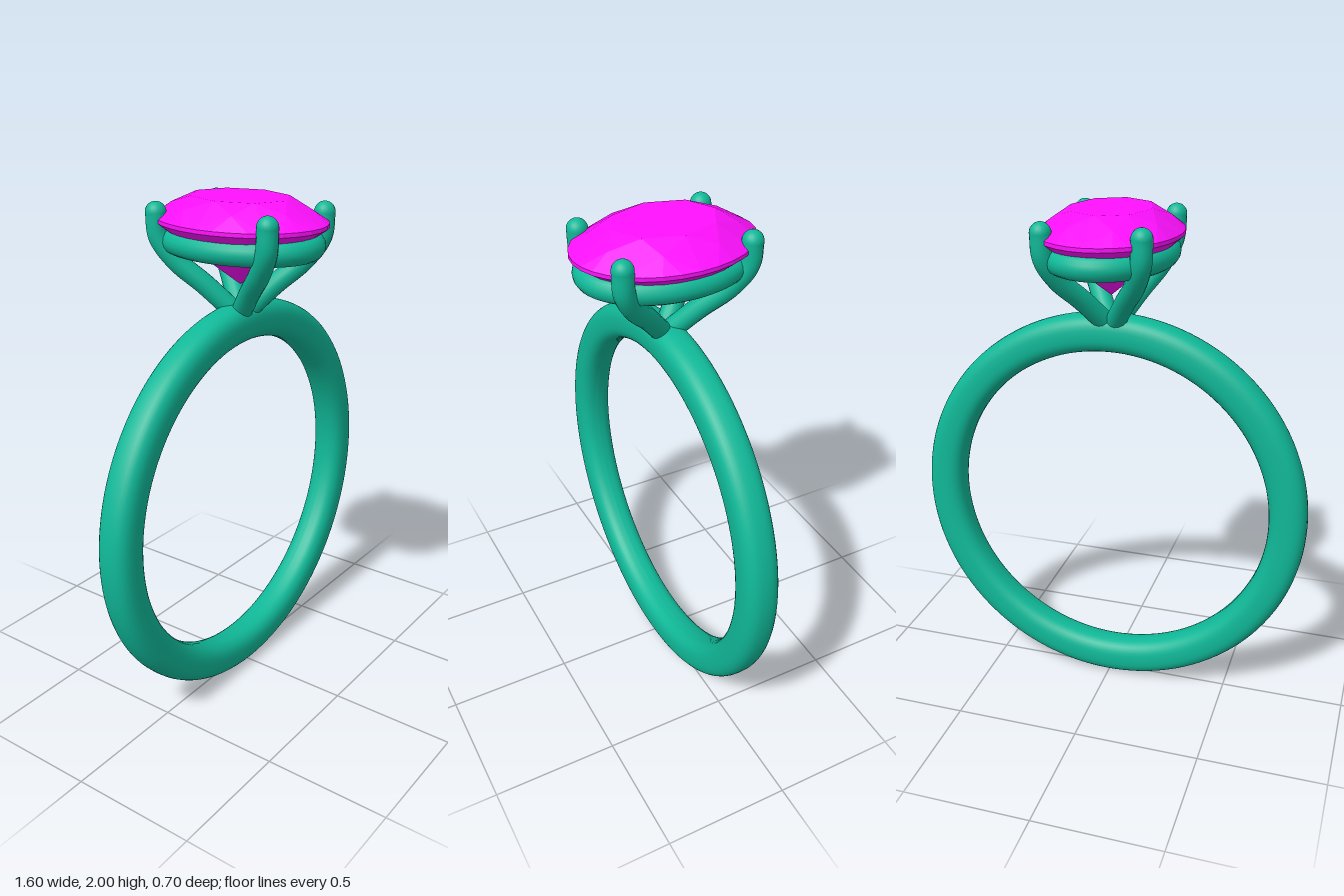
import * as THREE from 'three';

const metal = new THREE.MeshStandardMaterial({ color: 0x10b898 });
const gemMat = new THREE.MeshStandardMaterial({ color: 0xff10ff, flatShading: true });

function add(parent, name, geometry, material = metal) {
  const mesh = new THREE.Mesh(geometry, material);
  mesh.name = name;
  parent.add(mesh);
  return mesh;
}

// Band: softly squared section revolved about the finger axis
function bandGeometry() {
  const section = [];
  const soft = (v) => Math.sign(v) * Math.pow(Math.abs(v), 0.78);
  for (let i = 0; i <= 32; i++) {
    const a = Math.PI + (i / 32) * Math.PI * 2;
    section.push(new THREE.Vector2(0.725 + 0.075 * soft(Math.cos(a)), 0.071 * soft(Math.sin(a))));
  }
  return new THREE.LatheGeometry(section, 128).rotateX(Math.PI / 2);
}

// Oval brilliant cut: table, stars, kites, girdle facets, pavilion
function gemGeometry() {
  const pos = [];
  const tri = (...pts) => pts.forEach((p) => pos.push(p.x, p.y, p.z));
  const fan = 4; // girdle segments per eighth
  const at = (eighth, scale, y) => {
    const a = (eighth * Math.PI) / 4;
    return new THREE.Vector3(0.27 * scale * Math.cos(a), y, 0.35 * scale * Math.sin(a));
  };
  const table = (k) => at(k, 0.58, 2.0);
  const star = (k) => at(k + 0.5, 0.8, 1.965);
  const upper = (k) => at(k, 1, 1.918);
  const lower = (k) => at(k, 1, 1.903);
  const pav = (k) => at(k + 0.5, 0.38, 1.752);
  const top = new THREE.Vector3(0, 2.0, 0);
  const culet = new THREE.Vector3(0, 1.67, 0);

  for (let k = 0; k < 8; k++) {
    tri(top, table(k + 1), table(k));
    tri(table(k), table(k + 1), star(k));
    tri(table(k), star(k), upper(k));
    tri(table(k), upper(k), star(k - 1));
    tri(culet, lower(k), pav(k));
    tri(culet, pav(k - 1), lower(k));
    for (let j = 0; j < fan; j++) {
      const a = k + j / fan;
      const b = k + (j + 1) / fan;
      tri(star(k), upper(b), upper(a));
      tri(upper(a), upper(b), lower(a));
      tri(upper(b), lower(b), lower(a));
      tri(pav(k), lower(a), lower(b));
    }
  }
  const g = new THREE.BufferGeometry();
  g.setAttribute('position', new THREE.Float32BufferAttribute(pos, 3));
  g.computeVertexNormals();
  return g;
}

// Oval rail that carries the stone
function railGeometry() {
  const pts = [];
  for (let i = 0; i < 24; i++) {
    const a = (i / 24) * Math.PI * 2;
    pts.push(new THREE.Vector3(0.207 * Math.cos(a), 1.835, 0.293 * Math.sin(a)));
  }
  return new THREE.TubeGeometry(new THREE.CatmullRomCurve3(pts, true), 80, 0.047, 16, true);
}

// Prong: curved claw with a rounded tip, one per corner
function prong(sx, sz) {
  const group = new THREE.Group();
  group.name = 'prong';
  const path = new THREE.CatmullRomCurve3([
    [0.02, 1.57, 0.02],
    [0.083, 1.67, 0.105],
    [0.145, 1.76, 0.19],
    [0.18, 1.85, 0.243],
    [0.185, 1.94, 0.25],
  ].map(([x, y, z]) => new THREE.Vector3(sx * x, y, sz * z)));
  add(group, 'prongArm', new THREE.TubeGeometry(path, 32, 0.04, 16));
  add(group, 'prongTip', new THREE.SphereGeometry(0.04, 20, 14)).position.set(sx * 0.185, 1.94, sz * 0.25);
  add(group, 'prongFoot', new THREE.SphereGeometry(0.04, 16, 12)).position.set(sx * 0.02, 1.57, sz * 0.02);
  return group;
}

export function createModel() {
  const ring = new THREE.Group();
  ring.name = 'ring';
  add(ring, 'band', bandGeometry()).position.y = 0.8;

  const setting = new THREE.Group();
  setting.name = 'setting';
  add(setting, 'basketRail', railGeometry());
  for (const sx of [-1, 1]) for (const sz of [-1, 1]) setting.add(prong(sx, sz));
  ring.add(setting);

  add(ring, 'gemstone', gemGeometry(), gemMat);
  return ring;
}
